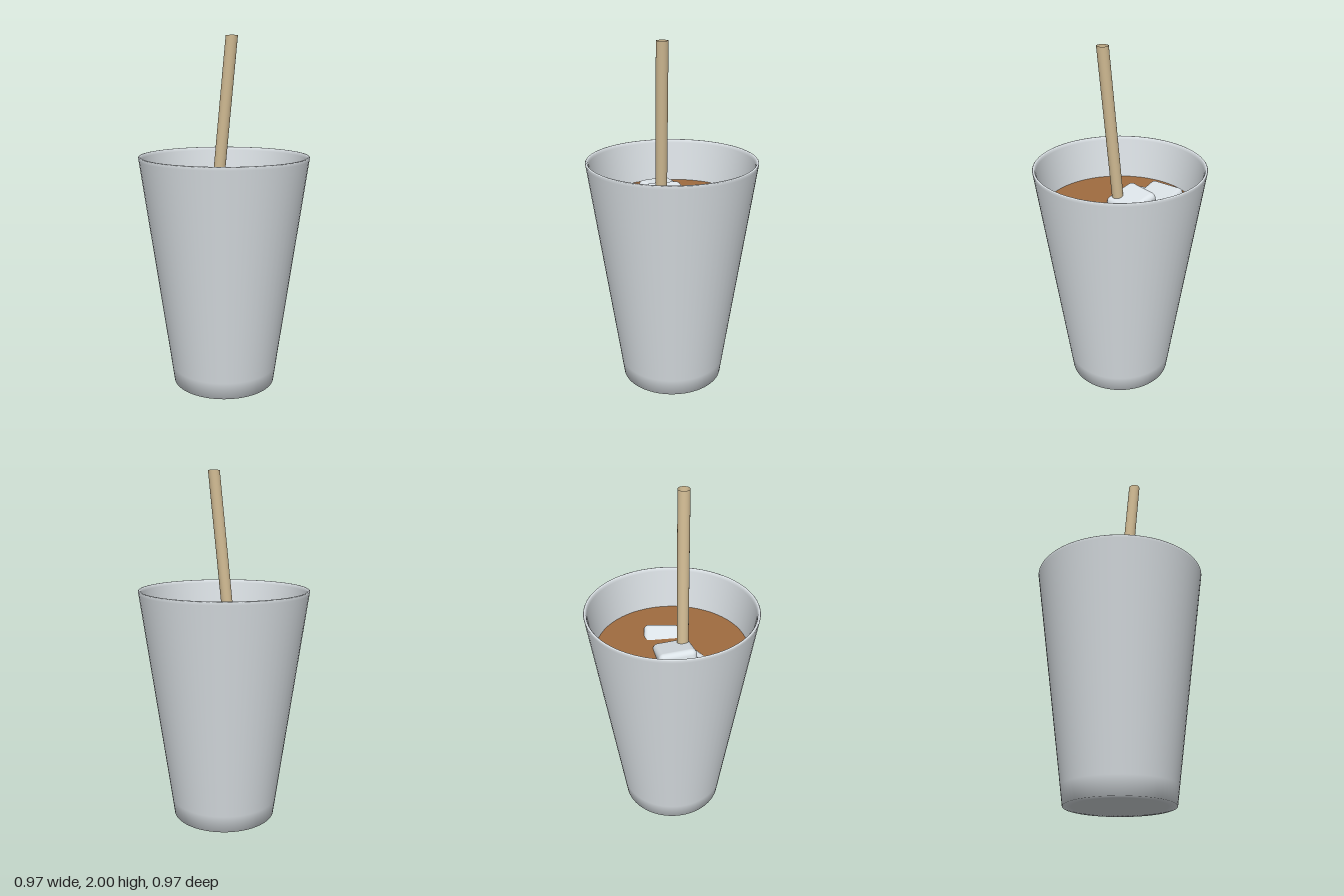
import * as THREE from 'three';
import { RoundedBoxGeometry } from 'three/addons/geometries/RoundedBoxGeometry.js';

const material = (name, color, side = THREE.FrontSide) => {
  const m = new THREE.MeshStandardMaterial({ color, side });
  m.name = name;
  return m;
};

export function createModel() {
  const group = new THREE.Group();
  group.name = 'icedDrink';
  const cupMat = material('cup grey', 0xdbe1e5);
  const liquidMat = material('coffee brown', 0xa06c40);
  const iceMat = material('ice white', 0xdde4e9);
  const strawMat = material('straw tan', 0xd2bc94, THREE.DoubleSide);

  const add = (name, geometry, mat) => {
    const mesh = new THREE.Mesh(geometry, mat);
    mesh.name = name;
    group.add(mesh);
    return mesh;
  };

  // Tapered cup: base, outer wall, thin rolled rim, inner wall and inner floor
  const profile = [
    [0, 0], [0.25, 0], [0.298, 0], [0.312, 0.1], [0.32, 0.16], [0.482, 1.325],
    [0.4845, 1.34], [0.481, 1.344], [0.474, 1.344], [0.469, 1.338], [0.466, 1.325],
    [0.285, 0.06], [0.26, 0.04], [0, 0.04],
  ].map(([x, y]) => new THREE.Vector2(x, y));
  add('cup', new THREE.LatheGeometry(profile, 64), cupMat);

  // Drink filling the cup to just below the rim
  const level = 1.095, depth = 1.0;
  const drink = add('drink', new THREE.CylinderGeometry(0.434, 0.29, depth, 64), liquidMat);
  drink.position.y = level - depth / 2;

  // Floating ice: position, then tilt x, yaw and tilt z in degrees
  const iceGeometry = new RoundedBoxGeometry(0.215, 0.215, 0.215, 5, 0.03);
  const cubes = [
    [-0.098, 1.04, 0.022, -6, 14, -13],
    [-0.285, 1.015, 0.035, -5, 30, -3],
    [-0.165, 1.005, 0.095, 9, 43, 0],
    [0.115, 0.998, -0.06, 3, 2, 22],
  ];
  cubes.forEach(([x, y, z, rx, ry, rz], i) => {
    const cube = add(`iceCube${i + 1}`, iceGeometry, iceMat);
    cube.position.set(x, y, z);
    cube.rotation.set(...[rx, ry, rz].map(THREE.MathUtils.degToRad), 'XZY');
  });

  // Open straw, sheared sideways so its ends stay level
  const bottom = 0.3, top = 2;
  const straw = new THREE.CylinderGeometry(0.033, 0.033, top - bottom, 32, 1, true);
  straw.translate(0, (top + bottom) / 2, 0);
  straw.applyMatrix4(new THREE.Matrix4().set(
    1, 0.1, 0, 0.07 - 0.1 * top,
    0, 1, 0, 0,
    0, 0, 1, 0.06,
    0, 0, 0, 1,
  ));
  add('straw', straw, strawMat);

  return group;
}
